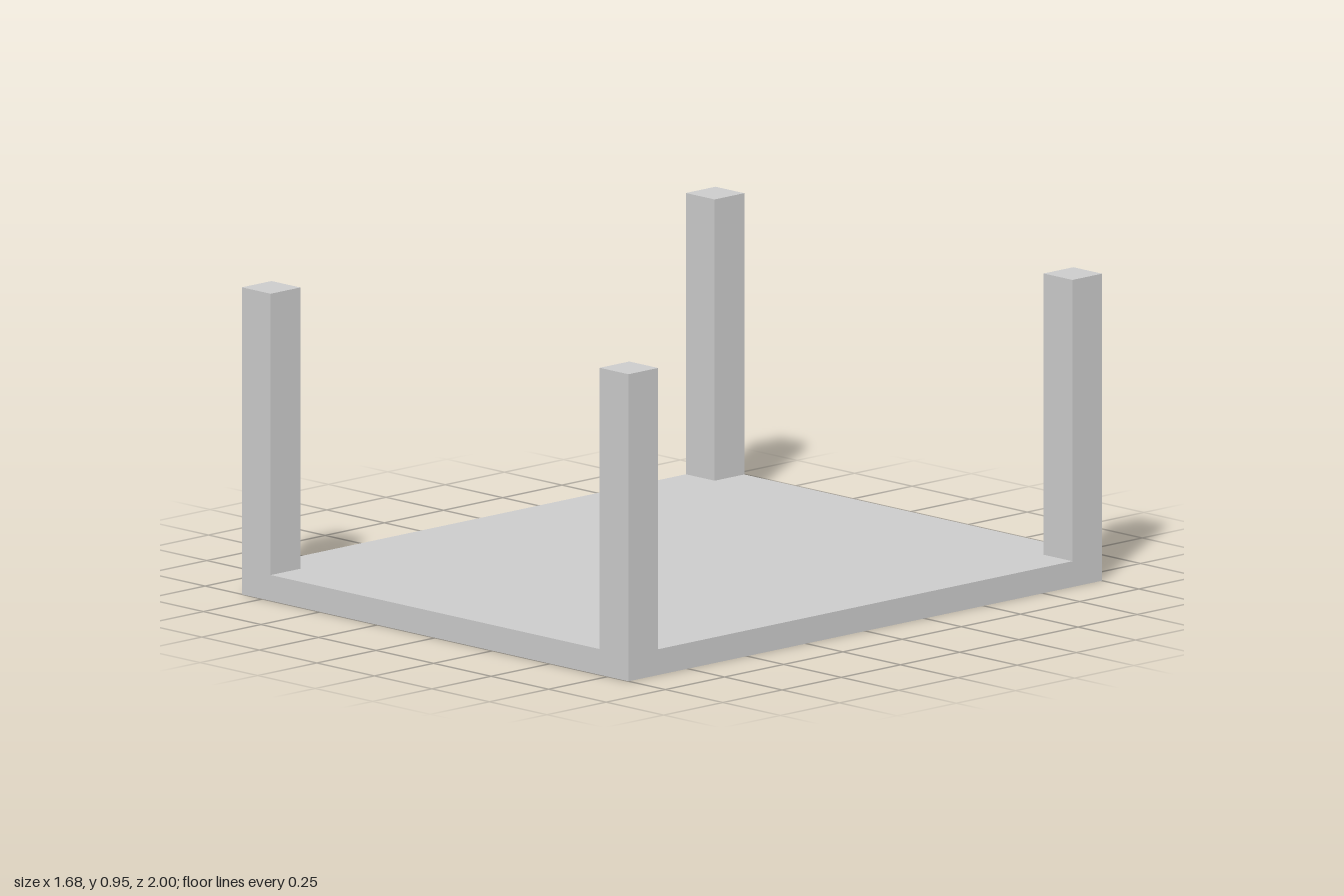
import * as THREE from 'three';

const W = 0.84, D = 1, H = 0.953, RIM = 0.08, LEG = 0.125;

export function createModel() {
  const model = new THREE.Group();
  const material = new THREE.MeshStandardMaterial({ color: 0xcccccc, flatShading: true, side: THREE.DoubleSide });
  const add = (name, geometry, x, y, z) => {
    const mesh = new THREE.Mesh(geometry, material);
    mesh.name = name;
    mesh.position.set(x, y, z);
    model.add(mesh);
    return mesh;
  };

  // Thin panel, notched at the corners where the legs stand
  const a = W - LEG, b = D - LEG;
  const outline = [[a, -D], [a, -b], [W, -b], [W, b], [a, b], [a, D],
    [-a, D], [-a, b], [-W, b], [-W, -b], [-a, -b], [-a, -D]];
  const panel = new THREE.ShapeGeometry(new THREE.Shape(outline.map(([x, y]) => new THREE.Vector2(x, y))));
  add('panel', panel.rotateX(-Math.PI / 2), 0, RIM, 0);

  for (const s of [-1, 1]) {
    // Rim walls, open underneath
    const end = new THREE.PlaneGeometry(2 * W, RIM).rotateY(s > 0 ? 0 : Math.PI);
    add(s > 0 ? 'frontRim' : 'backRim', end, 0, RIM / 2, s * D);
    const side = new THREE.PlaneGeometry(2 * D, RIM).rotateY(s * Math.PI / 2);
    add(s > 0 ? 'leftRim' : 'rightRim', side, s * W, RIM / 2, 0);

    // Corner legs, flush with the rim
    for (const t of [-1, 1]) {
      add((t > 0 ? 'front' : 'back') + (s > 0 ? 'Left' : 'Right') + 'Leg',
        new THREE.BoxGeometry(LEG, H - RIM, LEG),
        s * (W - LEG / 2), (H + RIM) / 2, t * (D - LEG / 2));
    }
  }
  return model;
}
